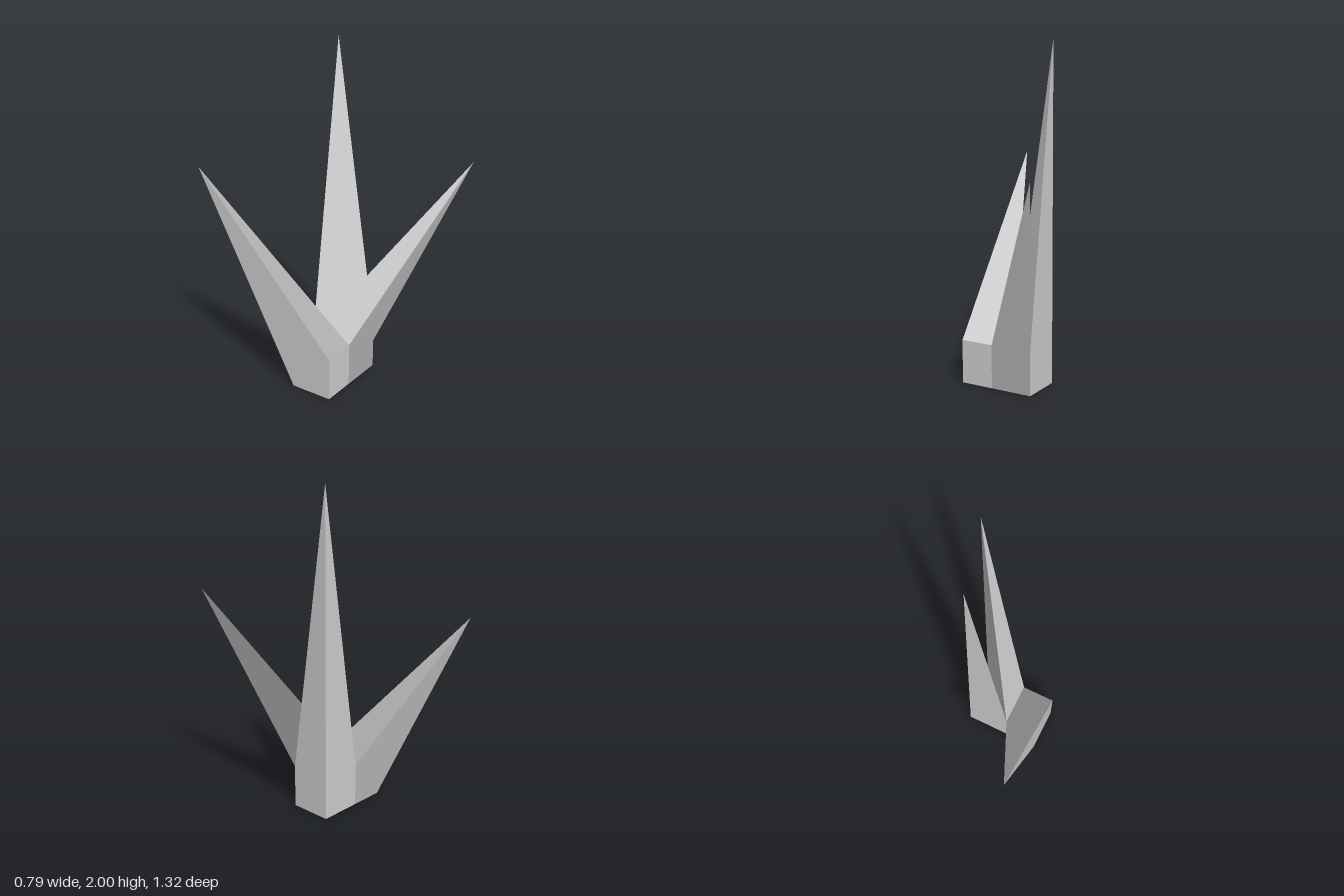
import * as THREE from 'three';

// Corners: capitals are the upper ring and spike tips, small letters the floor ring.
const H = 0.26, x0 = -0.332, x1 = -0.132, x2 = 0.124, zf = 0.194, zb = -0.06;
const corners = {
  a: [x0, 0, zf], b: [x1, 0, zf], c: [x2, 0, zf],
  f: [x0, 0, zb], e: [x1, 0, zb], d: [x2, 0, zb],
  A: [x0, H, zf], B: [x1, H, zf], C: [x2, H, zf], E: [x1, H, zb],
  D: [x2, 2, zb],            // tall tip
  F: [-0.397, 1.26, -0.66],  // back tip
  X: [0.397, 1.33, 0.66],    // front tip
};

// Solid from polygons, each fanned out from its first corner and shaded with one shared normal.
function facetedMesh(name, polygons) {
  const positions = [], normals = [];
  for (const polygon of polygons) {
    const points = [...polygon].map((key) => new THREE.Vector3(...corners[key]));
    const normal = new THREE.Vector3();
    const start = positions.length;
    for (let i = 1; i < points.length - 1; i++) {
      const triangle = [points[0], points[i], points[i + 1]];
      const u = triangle[1].clone().sub(triangle[0]);
      const v = triangle[2].clone().sub(triangle[0]);
      normal.add(u.cross(v));
      for (const p of triangle) positions.push(p.x, p.y, p.z);
    }
    normal.normalize();
    for (let i = start; i < positions.length; i += 3) normals.push(normal.x, normal.y, normal.z);
  }
  const geometry = new THREE.BufferGeometry();
  geometry.setAttribute('position', new THREE.Float32BufferAttribute(positions, 3));
  geometry.setAttribute('normal', new THREE.Float32BufferAttribute(normals, 3));
  const mesh = new THREE.Mesh(geometry, new THREE.MeshStandardMaterial({ color: 0xcccccc }));
  mesh.name = name;
  return mesh;
}

export function createModel() {
  const group = new THREE.Group();
  group.name = 'crystalSpikes';
  group.add(
    // Block whose back corner rises to the tall tip and whose front edge is drawn out to the front tip
    facetedMesh('tallAndFrontSpikes', ['bcCXB', 'EBXCD', 'cdDC', 'deED', 'bedc']),
    // Neighbouring block with its outer back corner drawn up and backwards
    facetedMesh('backSpike', ['abBA', 'BEFA', 'fFEe', 'aAFf', 'afeb']),
  );
  return group;
}
